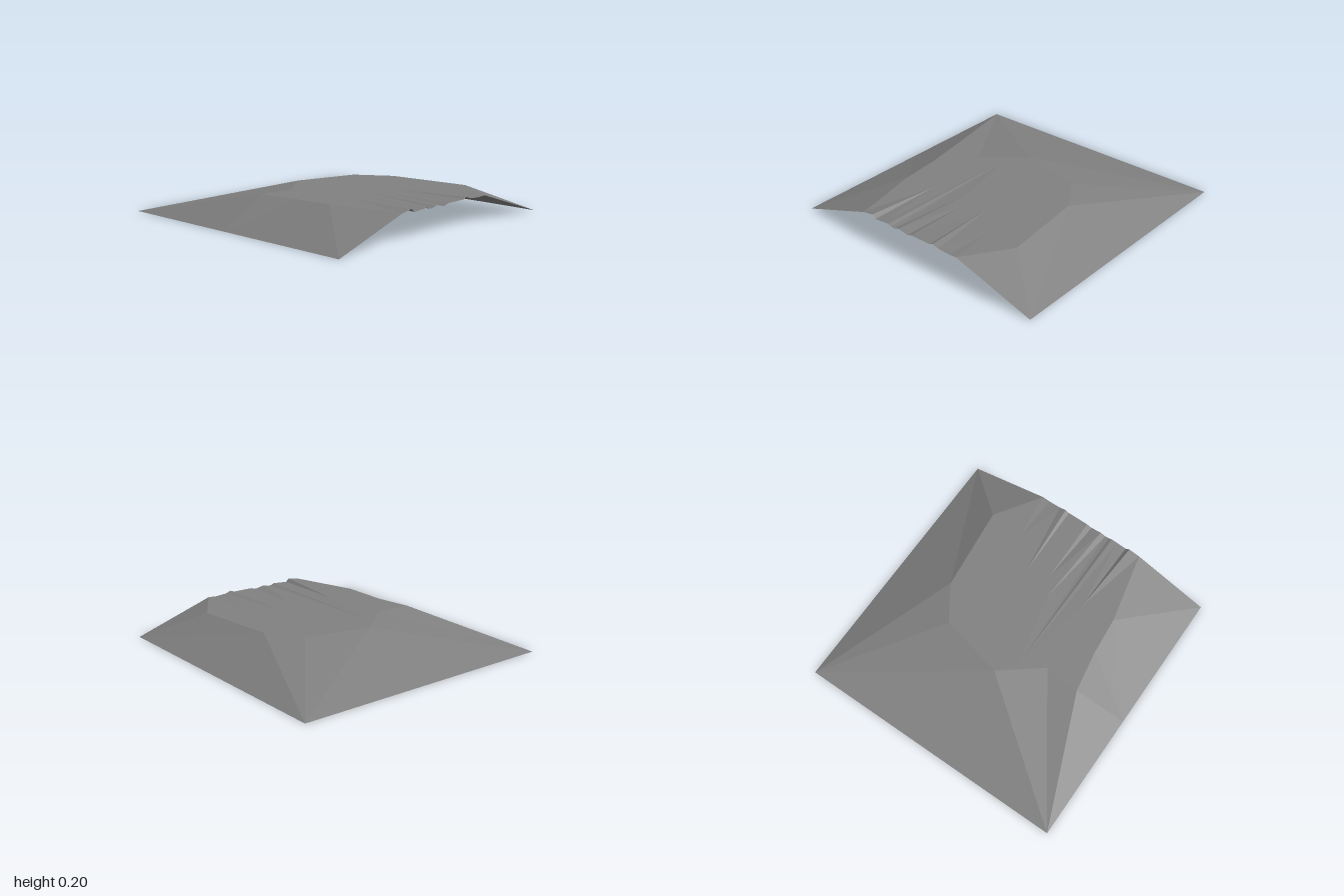
import * as THREE from 'three';

const TOP = 0.19;
const at = (x, z, y = TOP) => new THREE.Vector3(x, y, z);

// Open faceted sheet; every triangle is turned to face upwards
function sheet(name, triangles, material) {
  const points = [];
  for (const [a, b, c] of triangles) {
    const up = b.clone().sub(a).cross(c.clone().sub(a)).y >= 0;
    points.push(a, ...(up ? [b, c] : [c, b]));
  }
  const geometry = new THREE.BufferGeometry().setFromPoints(points);
  geometry.computeVertexNormals();
  const mesh = new THREE.Mesh(geometry, material);
  mesh.name = name;
  return mesh;
}

// Joins a chain of apexes to a rim: apex i fans over rim points ends[i-1]..ends[i]
function fans(apexes, rim, ends) {
  const triangles = [];
  let k = 0;
  apexes.forEach((apex, i) => {
    if (i > 0) triangles.push([apexes[i - 1], apex, rim[k]]);
    for (; k < ends[i]; k++) triangles.push([apex, rim[k], rim[k + 1]]);
  });
  return triangles;
}

export function createModel() {
  const group = new THREE.Group();
  const stone = new THREE.MeshStandardMaterial({ color: 0x808080 });
  stone.name = 'stone grey';
  stone.flatShading = true;
  stone.side = THREE.DoubleSide;

  // Rippled open edge at x = 1, as [z, y] from back to front
  const edge = [
    [-0.40, 0.19], [-0.34, 0.185], [-0.29, 0.187], [-0.25, 0.19],
    [-0.20, 0.205], [-0.17, 0.192], [-0.01, 0.19], [0.03, 0.178],
    [0.11, 0.192], [0.15, 0.18], [0.18, 0.182], [0.205, 0.192],
    [0.25, 0.188], [0.325, 0.182], [0.355, 0.205], [0.44, 0.19],
  ].map(([z, y]) => at(1, z, y));

  // Rim of the plateau, from back right round the left to front right
  const rim = [
    [0.67, -0.62], [0.05, -0.555], [-0.20, -0.39], [-0.31, 0.08],
    [-0.08, 0.37], [-0.10, 0.63], [0.20, 0.58], [0.48, 0.555],
  ].map(([x, z]) => at(x, z));

  // Inner tips where the ripples fade out
  const tips = [
    [0.62, -0.36], [0.43, -0.165], [0.49, -0.005],
    [0.36, 0.07], [-0.17, 0.19], [0.44, 0.315],
  ].map(([x, z]) => at(x, z));

  // Flat plateau bounded by the rim and the ripple tips
  const outline = [...rim, ...[...tips].reverse()];
  const flat = outline.map((p) => new THREE.Vector2(p.x, p.z));
  const plateau = THREE.ShapeUtils.triangulateShape(flat, [])
    .map((face) => face.map((i) => outline[i]));
  group.add(sheet('plateau', plateau, stone));

  // Ripples running out to the open edge
  const chain = [rim[0], ...tips, rim[7]];
  group.add(sheet('ripples', fans(chain, edge, [0, 3, 6, 8, 9, 12, 15, 15]), stone));

  // Slopes down to the square base
  const base = [at(1, -1, 0), at(-1, -1, 0), at(-1, 1, 0), at(-0.05, 1, 0), at(1, 1, 0)];
  const crest = [edge[0], ...rim, edge[15]];
  group.add(sheet('slopes', fans(base, crest, [2, 4, 6, 8, 9]), stone));

  return group;
}
